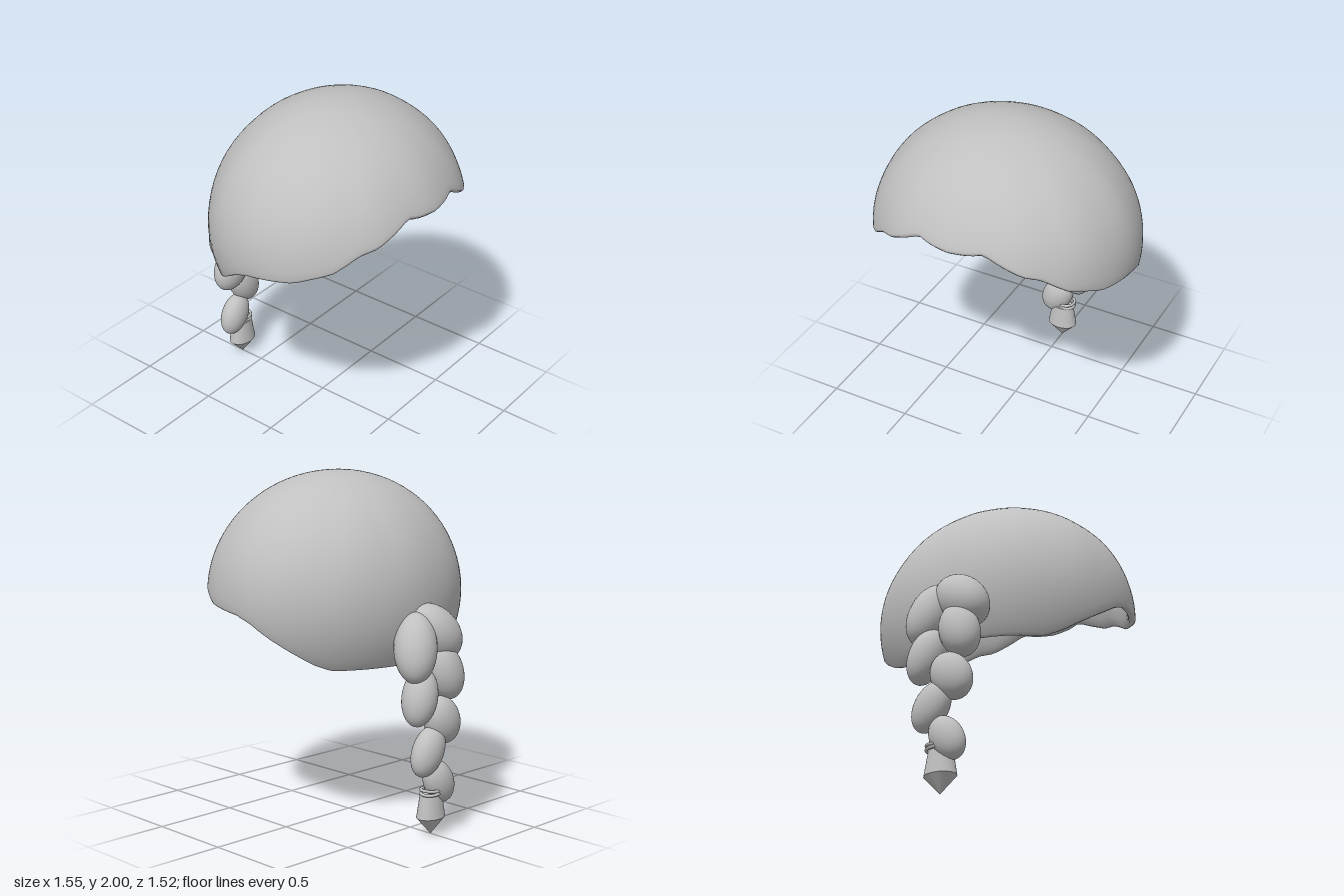
import * as THREE from 'three';
import { mergeVertices } from 'three/addons/utils/BufferGeometryUtils.js';

const hair = new THREE.MeshStandardMaterial({ color: 0xc0c0c0 });
hair.name = 'hair grey';

// Hairline height by angle (degrees) from the front, same on both sides
const HAIRLINE = [[0, 1.53], [10, 1.54], [16, 1.555], [22, 1.515], [32, 1.45], [40, 1.425], [51, 1.335],
  [60, 1.3], [68, 1.265], [80, 1.25], [90, 1.235], [98, 1.2], [107, 1.13], [118, 1.05], [128, 0.98], [137, 0.94], [180, 0.94]];

function hairlineY(phi) {
  const deg = Math.abs(THREE.MathUtils.radToDeg(phi));
  for (let i = 1; i < HAIRLINE.length; i++) {
    const [a0, y0] = HAIRLINE[i - 1], [a1, y1] = HAIRLINE[i];
    if (deg <= a1) return THREE.MathUtils.lerp(y0, y1, (deg - a0) / (a1 - a0));
  }
  return 0.94;
}

// Point on the head ellipsoid: phi around from the front, t down from the crown
function capPoint(phi, t, scale) {
  const wave = 1 + 0.008 * Math.cos(phi * 12) * Math.sin(t) ** 2 * Math.max(0, Math.cos(t));
  const r = Math.sin(t) * scale * wave;
  const depth = Math.cos(phi) > 0 ? 0.72 : 0.67;
  return [0.775 * r * Math.sin(phi), 1.3 + 0.7 * scale * Math.cos(t), 0.09 + depth * r * Math.cos(phi)];
}

// Hollow cap: outer wall, rolled lip and inner wall in one skin
function capGeometry() {
  const cols = 120, rows = 28, pos = [], index = [];
  const section = [];
  for (let i = 0; i <= rows; i++) section.push([i / rows, -0.03 * (i / rows), 1]);
  section.push([1, -0.01, 0.993], [1, 0, 0.975], [1, -0.01, 0.955], [1, -0.04, 0.942], [1, -0.1, 0.94], [1, -0.2, 0.945], [1, -0.23, 0.96]);
  for (let i = rows; i >= 0; i--) section.push([i / rows, -0.24 * (i / rows), 0.962]);
  for (const [f, shift, scale] of section) {
    for (let j = 0; j < cols; j++) {
      const phi = (j / cols) * Math.PI * 2 - Math.PI;
      const rim = Math.acos((hairlineY(phi) - 1.3) / 0.7);
      pos.push(...capPoint(phi, rim * f + shift, scale));
    }
  }
  for (let i = 0; i < section.length - 1; i++) {
    for (let j = 0; j < cols; j++) {
      const k = (j + 1) % cols;
      const a = i * cols + j, b = a + cols, c = i * cols + k, d = c + cols;
      index.push(a, b, c, b, d, c);
    }
  }
  let geo = new THREE.BufferGeometry();
  geo.setAttribute('position', new THREE.Float32BufferAttribute(pos, 3));
  geo.setIndex(index);
  geo = mergeVertices(geo, 1e-5);
  geo.computeVertexNormals();
  return geo;
}

// Braid strands: centre, radii, sideways tilt, forward tilt
const STRANDS = [
  [[-0.08, 1.13, -0.59], [0.14, 0.19, 0.14], -0.75, 0.3],
  [[0.1, 1.07, -0.62], [0.12, 0.2, 0.12], 0.3, 0.3],
  [[-0.1, 0.92, -0.65], [0.115, 0.17, 0.105], -0.3, 0.15],
  [[0.1, 0.8, -0.655], [0.1, 0.165, 0.1], 0.3, 0.1],
  [[-0.065, 0.65, -0.67], [0.115, 0.145, 0.09], -0.5, 0],
  [[0.05, 0.49, -0.675], [0.1, 0.15, 0.08], 0.5, 0],
  [[-0.045, 0.3, -0.67], [0.095, 0.135, 0.075], -0.5, 0],
];

export function createModel() {
  const model = new THREE.Group();
  model.name = 'braidedHair';
  const add = (parent, name, geo, x = 0, y = 0, z = 0) => {
    const mesh = new THREE.Mesh(geo, hair);
    mesh.name = name;
    mesh.position.set(x, y, z);
    parent.add(mesh);
    return mesh;
  };

  add(model, 'hairCap', capGeometry());

  const braid = new THREE.Group();
  braid.name = 'braid';
  model.add(braid);
  const ball = new THREE.SphereGeometry(1, 36, 24);
  for (const [centre, radii, side, forward] of STRANDS) {
    const strand = add(braid, 'braidStrand', ball, ...centre);
    strand.scale.set(...radii);
    strand.rotation.set(forward, 0, side);
  }

  // Two thin bands tying the braid
  for (const [y, tilt] of [[0.262, 0.06], [0.244, -0.08]]) {
    const band = add(braid, 'hairTie', new THREE.TorusGeometry(0.052, 0.009, 10, 32), 0.02, y, -0.667);
    band.rotation.set(Math.PI / 2, tilt, 0);
  }

  // Flared tuft with a pointed end
  const tuft = new THREE.Group();
  tuft.name = 'braidEnd';
  tuft.position.set(0, 0, -0.655);
  tuft.scale.z = 0.75;
  braid.add(tuft);
  add(tuft, 'tuft', new THREE.CylinderGeometry(0.07, 0.093, 0.14, 32), 0, 0.17, 0);
  const tip = add(tuft, 'tuftTip', new THREE.ConeGeometry(0.093, 0.1, 32), 0, 0.05, 0);
  tip.rotation.x = Math.PI;
  return model;
}
